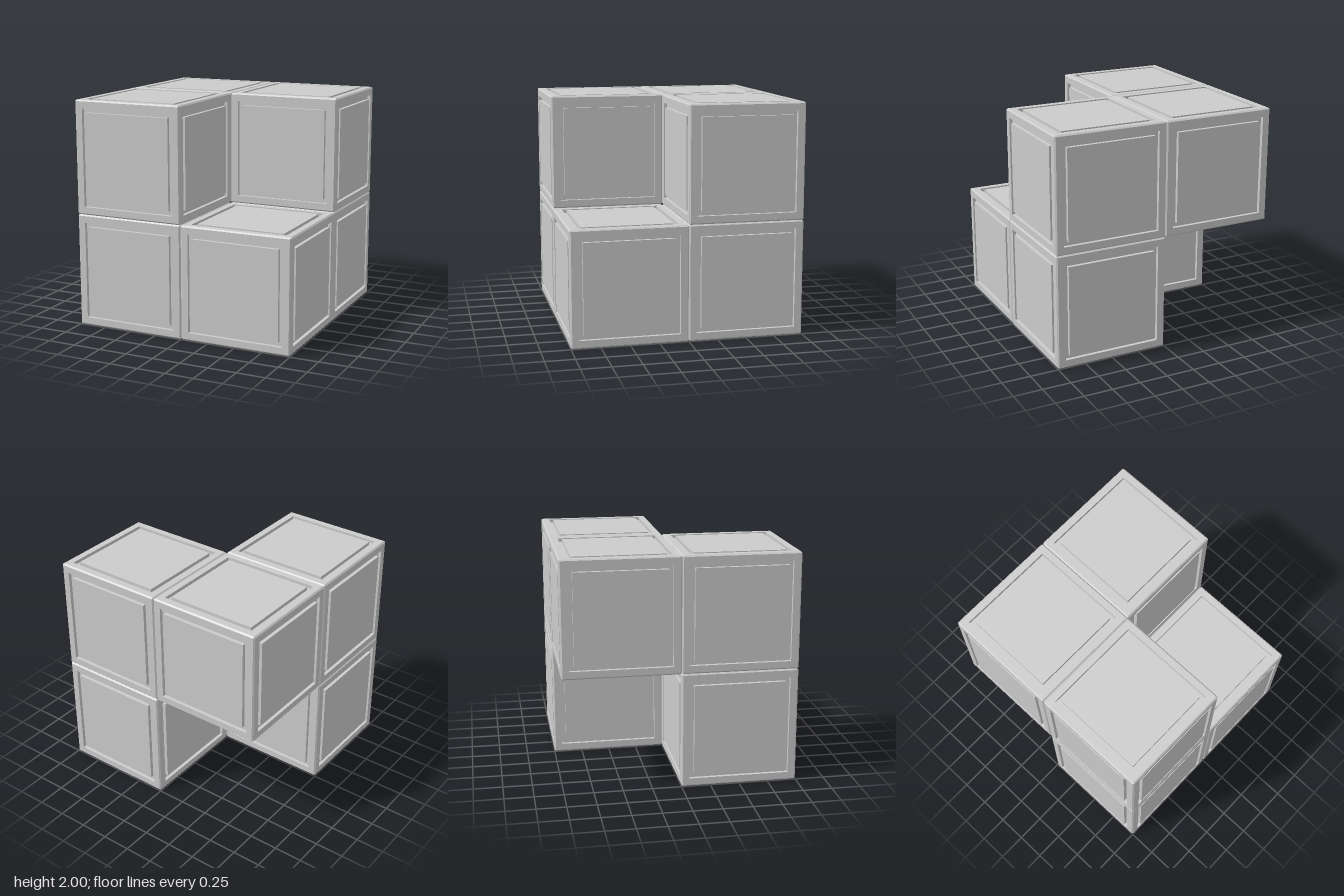
import * as THREE from 'three';
import { mergeGeometries } from 'three/addons/utils/BufferGeometryUtils.js';

const HALF = 0.5;      // half of a cube's side
const BEVEL = 0.012;   // chamfer along every edge
const DEPTH = 0.03;    // depth of the groove around each panel

// One square face (looking up +y): half chamfer, frame, groove, raised panel
function faceGeometry() {
  const profile = [
    [HALF - BEVEL / 2, HALF - BEVEL / 2],
    [HALF - BEVEL, HALF],
    [0.43, HALF],
    [0.43, HALF - DEPTH],
    [0.393, HALF - DEPTH],
    [0.393, HALF],
    [0, HALF],
  ].map(([half, y]) => new THREE.Vector2(half * Math.SQRT2, y));
  return new THREE.LatheGeometry(profile, 4, Math.PI / 4).toNonIndexed();
}

// Six copies of the face close up into a chamfered cube
function cubeGeometry() {
  const q = Math.PI / 2;
  const turns = [[0, 0], [q, 0], [2 * q, 0], [-q, 0], [0, q], [0, -q]];
  const faces = turns.map(([rx, rz]) => faceGeometry().rotateX(rx).rotateZ(rz));
  const geometry = mergeGeometries(faces);
  geometry.computeVertexNormals();
  return geometry;
}

export function createModel() {
  const model = new THREE.Group();
  model.name = 'cubeCluster';
  const material = new THREE.MeshStandardMaterial({ color: 0xcccccc, flatShading: true });
  const geometry = cubeGeometry();

  // 2 x 2 x 2 block with two opposite corners left out
  for (const x of [-1, 1]) for (const y of [-1, 1]) for (const z of [-1, 1]) {
    if (x === y && y === z) continue;
    const cube = new THREE.Mesh(geometry, material);
    cube.name = `${y > 0 ? 'upper' : 'lower'}${z > 0 ? 'Front' : 'Back'}${x > 0 ? 'Left' : 'Right'}Cube`;
    cube.position.set(x * HALF, 1 + y * HALF, z * HALF);
    model.add(cube);
  }
  return model;
}
